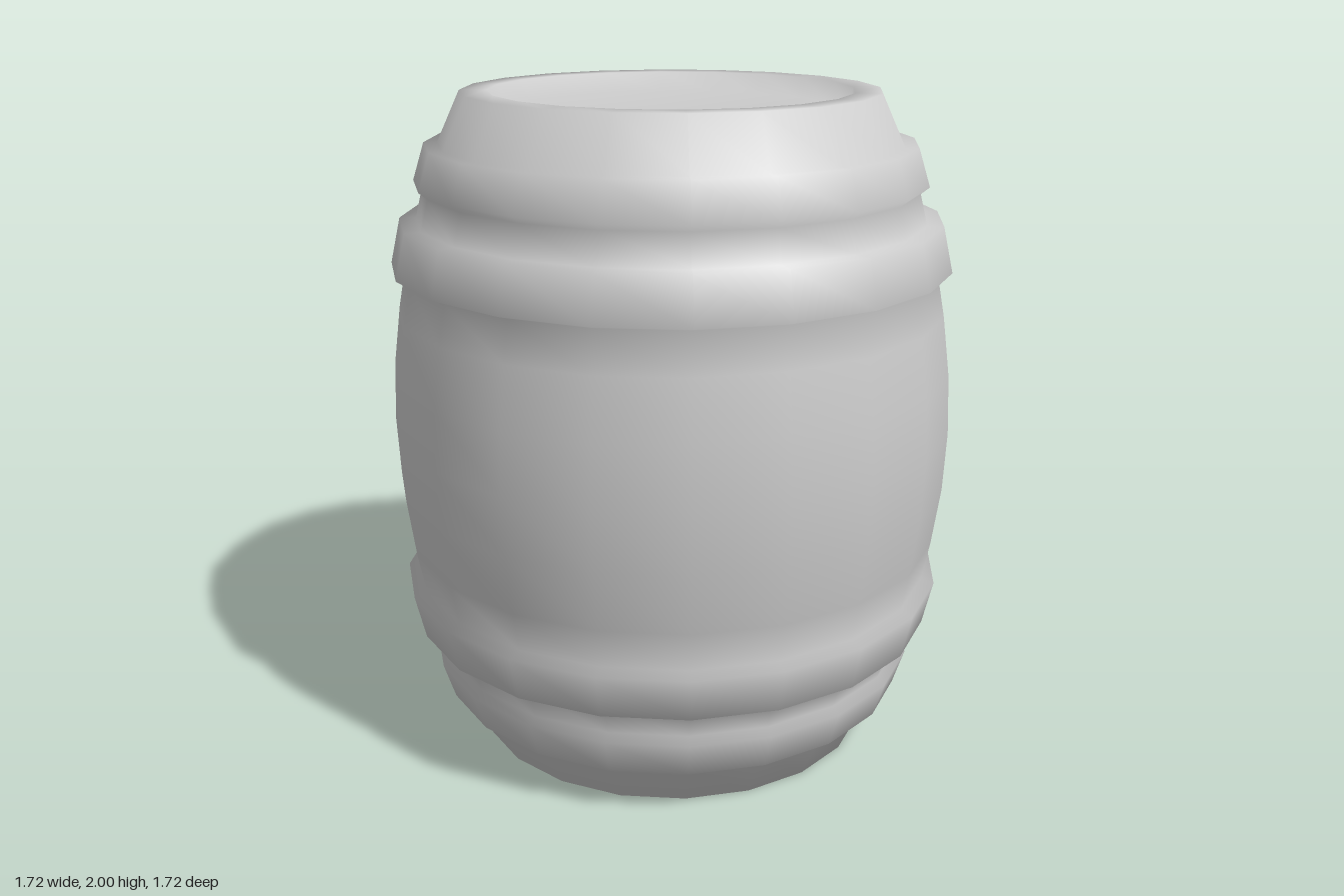
import * as THREE from 'three';

export function createModel() {
  const group = new THREE.Group();
  group.name = 'barrel';
  const material = new THREE.MeshStandardMaterial({ color: 0xcccccc });

  // Lower half of the profile: recessed end, rim, two hoops, swelling staves
  const lower = [
    [0, 0.06], [0.52, 0.06], [0.54, 0],   // recessed end
    [0.62, 0], [0.69, 0.15],              // rim and chime
    [0.73, 0.15], [0.765, 0.26],          // small hoop
    [0.74, 0.28], [0.763, 0.372],         // groove
    [0.812, 0.372], [0.843, 0.507],       // large hoop
    [0.803, 0.52], [0.826, 0.64], [0.85, 0.82], // staves
  ];
  // Mirror about mid height for the upper half
  const upper = lower.map(([r, y]) => [r, 2 - y]).reverse();
  const profile = [...lower, [0.858, 1], ...upper].map(([r, y]) => new THREE.Vector2(r, y));

  const body = new THREE.Mesh(new THREE.LatheGeometry(profile, 20), material);
  body.name = 'barrelBody';
  group.add(body);
  return group;
}
